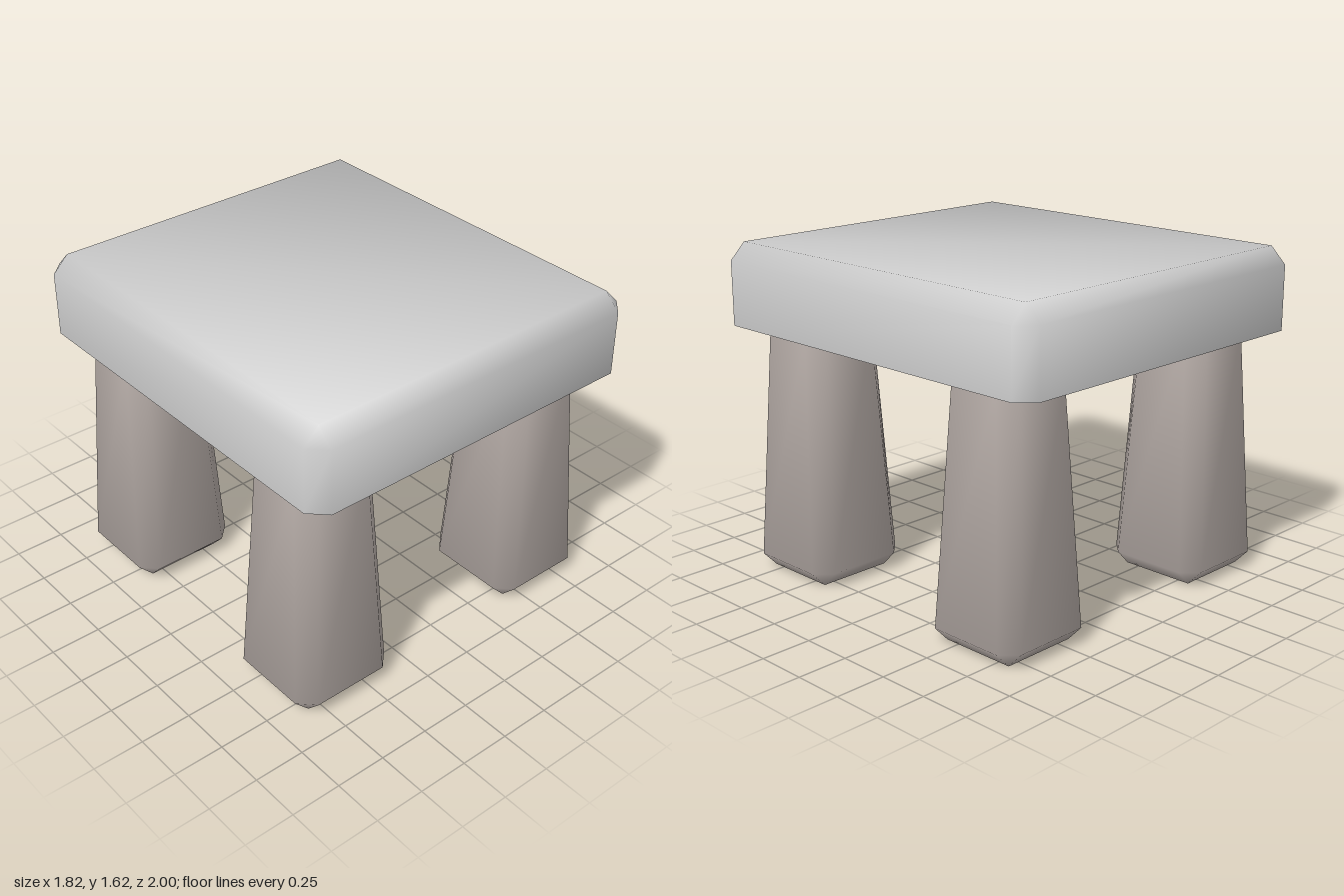
import * as THREE from 'three';
import { toCreasedNormals } from 'three/addons/utils/BufferGeometryUtils.js';

// Rectangle with cut corners, counter-clockwise seen from above
function ring({ y, hx, hz, cut }) {
  const a = hx - cut, b = hz - cut;
  return [[a, hz], [hx, b], [hx, -b], [a, -hz], [-a, -hz], [-hx, -b], [-hx, b], [-a, hz]]
    .map(([x, z]) => new THREE.Vector3(x, y, z));
}

// Closed block joining cross-sections from bottom to top, smooth over the bevels
function bevelBlock(sections) {
  const rings = sections.map(ring);
  const positions = [];
  const tri = (a, b, c) => {
    if (new THREE.Triangle(a, b, c).getArea() < 1e-6) return;
    for (const p of [a, b, c]) positions.push(p.x, p.y, p.z);
  };
  for (let r = 0; r < rings.length - 1; r++) {
    const low = rings[r], high = rings[r + 1];
    for (let i = 0; i < 8; i++) {
      const j = (i + 1) % 8;
      tri(low[i], low[j], high[j]);
      tri(low[i], high[j], high[i]);
    }
  }
  const bottom = rings[0], top = rings[rings.length - 1];
  for (let i = 1; i < 7; i++) {
    tri(bottom[0], bottom[i + 1], bottom[i]);
    tri(top[0], top[i], top[i + 1]);
  }
  const geometry = new THREE.BufferGeometry();
  geometry.setAttribute('position', new THREE.Float32BufferAttribute(positions, 3));
  return toCreasedNormals(geometry, 1.1);
}

export function createModel() {
  const group = new THREE.Group();
  group.name = 'stool';

  // Thick seat slab: bevelled top and corners, sharp flat underside
  const seat = new THREE.Mesh(
    bevelBlock([
      { y: 1.22, hx: 0.91, hz: 1, cut: 0.08 },
      { y: 1.535, hx: 0.91, hz: 1, cut: 0.08 },
      { y: 1.615, hx: 0.83, hz: 0.92, cut: 0 },
    ]),
    new THREE.MeshStandardMaterial({ color: 0xcccccc }),
  );
  seat.name = 'seat';
  group.add(seat);

  // Four stout legs, widening toward bevelled feet
  const legGeometry = bevelBlock([
    { y: 0, hx: 0.19, hz: 0.19, cut: 0 },
    { y: 0.078, hx: 0.265, hz: 0.265, cut: 0.075 },
    { y: 1.22, hx: 0.205, hz: 0.205, cut: 0.075 },
  ]);
  const legMaterial = new THREE.MeshStandardMaterial({ color: 0xbbb1ac });
  for (const [side, x] of [['Left', 0.62], ['Right', -0.62]]) {
    for (const [end, z] of [['front', 0.62], ['back', -0.62]]) {
      const leg = new THREE.Mesh(legGeometry, legMaterial);
      leg.name = `${end}${side}Leg`;
      leg.position.set(x, 0, z);
      group.add(leg);
    }
  }
  return group;
}
